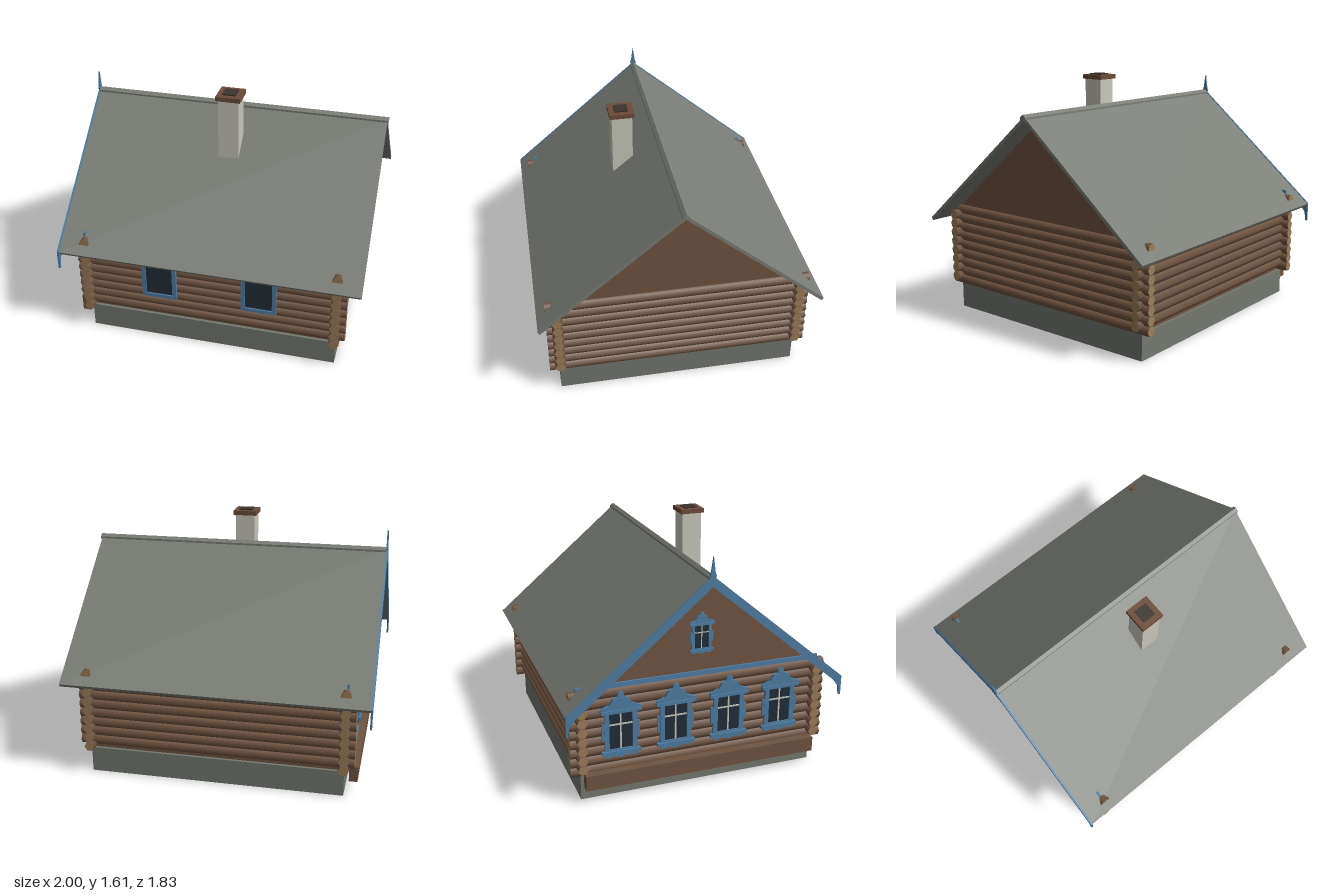
import * as THREE from 'three';

const paint = (name, color, side = THREE.FrontSide) => {
  const m = new THREE.MeshStandardMaterial({ color, side });
  m.name = name;
  return m;
};

export function createModel() {
  const wood = paint('brown wood', 0x6f5441);
  const logEnd = paint('cut log end', 0x9c7f59);
  const stone = paint('foundation stone', 0x737870);
  const roofing = paint('roof grey', 0x7a7d76);
  const blue = paint('blue trim', 0x4f7ea3);
  const glass = paint('dark glass', 0x222d37);
  const plaster = paint('chimney plaster', 0xcac8bc);
  const cap = paint('chimney cap', 0x6b4c39);
  const soot = paint('soot', 0x3b332d);

  const house = new THREE.Group();
  house.name = 'logHouse';

  const add = (parent, name, geo, mat) => {
    const mesh = new THREE.Mesh(geo, mat);
    mesh.name = name;
    parent.add(mesh);
    return mesh;
  };
  // box given by its limits on each axis
  const box = (parent, name, mat, [x0, x1], [y0, y1], [z0, z1]) => {
    const geo = new THREE.BoxGeometry(x1 - x0, y1 - y0, z1 - z0);
    geo.translate((x0 + x1) / 2, (y0 + y1) / 2, (z0 + z1) / 2);
    return add(parent, name, geo, mat);
  };
  const outline = pts => new THREE.Shape(pts.map(p => new THREE.Vector2(...p)));
  // closed outline from its right half, mirrored about the vertical axis
  const mirrored = half => outline([...half, ...half.filter(p => p[0] !== 0).reverse().map(([a, b]) => [-a, b])]);
  // symmetric chevron: upper edge outward, lower edge back to the middle
  const chevron = half => outline([...half, ...half.slice(1, -1).reverse().map(([a, b]) => [-a, b])]);
  const slab = (shape, depth) => new THREE.ExtrudeGeometry(shape, { depth, bevelEnabled: false });
  // extrusion of a z-y outline along x
  const alongX = (shape, x0, x1) => slab(shape, x1 - x0).rotateY(Math.PI / 2).translate(x0, 0, 0);

  // foundation and wall core
  box(house, 'foundation', stone, [-0.835, 0.84], [0, 0.17], [-0.795, 0.795]);
  box(house, 'wallCore', wood, [-0.82, 0.82], [0.165, 0.73], [-0.775, 0.775]);

  // interlocking logs
  const logs = new THREE.Group();
  logs.name = 'logWalls';
  house.add(logs);
  const sideLog = new THREE.CylinderGeometry(0.034, 0.034, 1.8, 6).rotateZ(Math.PI / 2);
  const gableLog = new THREE.CylinderGeometry(0.034, 0.034, 1.72, 6).rotateZ(Math.PI / 2).rotateY(Math.PI / 2);
  for (const s of [-1, 1]) {
    for (let i = 0; i < 8; i++)
      add(logs, 'sideLog', sideLog, [wood, logEnd, logEnd]).position.set(0, 0.236 + 0.063 * i, 0.79 * s);
    for (let i = 0; i < 9; i++)
      add(logs, 'gableLog', gableLog, [wood, logEnd, logEnd]).position.set(0.833 * s, 0.204 + 0.063 * i, 0);
  }

  // gables and roof
  const gable = outline([[-0.8, 0.72], [0.8, 0.72], [0, 1.395]]);
  add(house, 'rearGable', alongX(gable, 0.8, 0.835), wood);
  add(house, 'facadeGable', alongX(gable, -0.835, -0.8), wood);
  add(house, 'roof', alongX(chevron([[0, 1.425], [0.915, 0.655], [0.903, 0.636], [0, 1.397]]), -0.99, 0.992), roofing);
  add(house, 'ridgeCap', alongX(chevron([[0, 1.437], [0.022, 1.419], [0.022, 1.403], [0, 1.418]]), -0.992, 1), roofing);

  // facade trim: bargeboards, finial, belt and bench beam
  add(house, 'bargeboards', alongX(chevron([
    [0, 1.43], [0.915, 0.66], [0.915, 0.53], [0.902, 0.53], [0.896, 0.59], [0.862, 0.635], [0, 1.363],
  ]), -1, -0.988), blue);
  add(house, 'finial', alongX(mirrored([
    [0, 1.39], [0.012, 1.405], [0.021, 1.43], [0.013, 1.455], [0, 1.547],
  ]), -1, -0.989), blue);
  box(house, 'beltBoard', blue, [-0.848, -0.834], [0.725, 0.768], [-0.815, 0.815]);
  box(house, 'lowerBeam', wood, [-0.92, -0.865], [0.1, 0.2], [-0.78, 0.78]);

  // carved window, facing +z, centred on its opening
  const carvedWindow = () => {
    const w = new THREE.Group();
    w.name = 'carvedWindow';
    const frame = mirrored([[0, -0.155], [0.105, -0.155], [0.105, 0.13], [0, 0.13]]);
    frame.holes.push(mirrored([[0, -0.125], [0.075, -0.125], [0.075, 0.115], [0, 0.115]]));
    add(w, 'frame', slab(frame, 0.016), blue);
    box(w, 'pane', glass, [-0.08, 0.08], [-0.13, 0.12], [0, 0.006]);
    box(w, 'mullion', plaster, [-0.005, 0.005], [-0.125, 0.115], [0.004, 0.01]);
    box(w, 'transom', plaster, [-0.075, 0.075], [0.035, 0.045], [0.004, 0.01]);
    add(w, 'crown', slab(mirrored([
      [0, 0.118], [0.125, 0.118], [0.13, 0.155], [0.1, 0.165], [0.075, 0.175],
      [0.05, 0.215], [0.022, 0.225], [0.018, 0.25], [0, 0.262],
    ]), 0.02), blue);
    box(w, 'crownMoulding', blue, [-0.13, 0.13], [0.125, 0.142], [0, 0.028]);
    box(w, 'sill', blue, [-0.125, 0.125], [-0.155, -0.135], [0, 0.028]);
    add(w, 'apron', slab(mirrored([
      [0, -0.185], [0.05, -0.17], [0.095, -0.185], [0.11, -0.15], [0, -0.15],
    ]), 0.016), blue);
    for (const s of [-1, 1])
      box(w, 'sideScroll', blue, [s * 0.112 - 0.01, s * 0.112 + 0.01], [-0.06, 0.05], [0, 0.014]);
    w.rotation.y = -Math.PI / 2;
    house.add(w);
    return w;
  };
  for (const z of [-0.54, -0.18, 0.18, 0.54]) carvedWindow().position.set(-0.864, 0.462, z);
  const attic = carvedWindow();
  attic.name = 'atticWindow';
  attic.scale.setScalar(0.62);
  attic.position.set(-0.834, 0.995, 0);

  // plain windows on the front wall
  for (const x of [-0.333, 0.335]) {
    const w = new THREE.Group();
    w.name = 'plainWindow';
    const frame = mirrored([[0, -0.14], [0.116, -0.14], [0.116, 0.145], [0, 0.145]]);
    frame.holes.push(mirrored([[0, -0.115], [0.089, -0.115], [0.089, 0.115], [0, 0.115]]));
    add(w, 'frame', slab(frame, 0.02), blue);
    box(w, 'pane', glass, [-0.095, 0.095], [-0.12, 0.12], [0.002, 0.01]);
    w.position.set(x, 0.495, 0.822);
    house.add(w);
  }

  // chimney
  box(house, 'chimneyStack', plaster, [-0.065, 0.07], [1.1, 1.58], [0.17, 0.305]);
  box(house, 'chimneyCap', cap, [-0.078, 0.083], [1.575, 1.605], [0.156, 0.319]);
  box(house, 'chimneyFlue', soot, [-0.042, 0.047], [1.6, 1.613], [0.192, 0.283]);

  return house;
}
